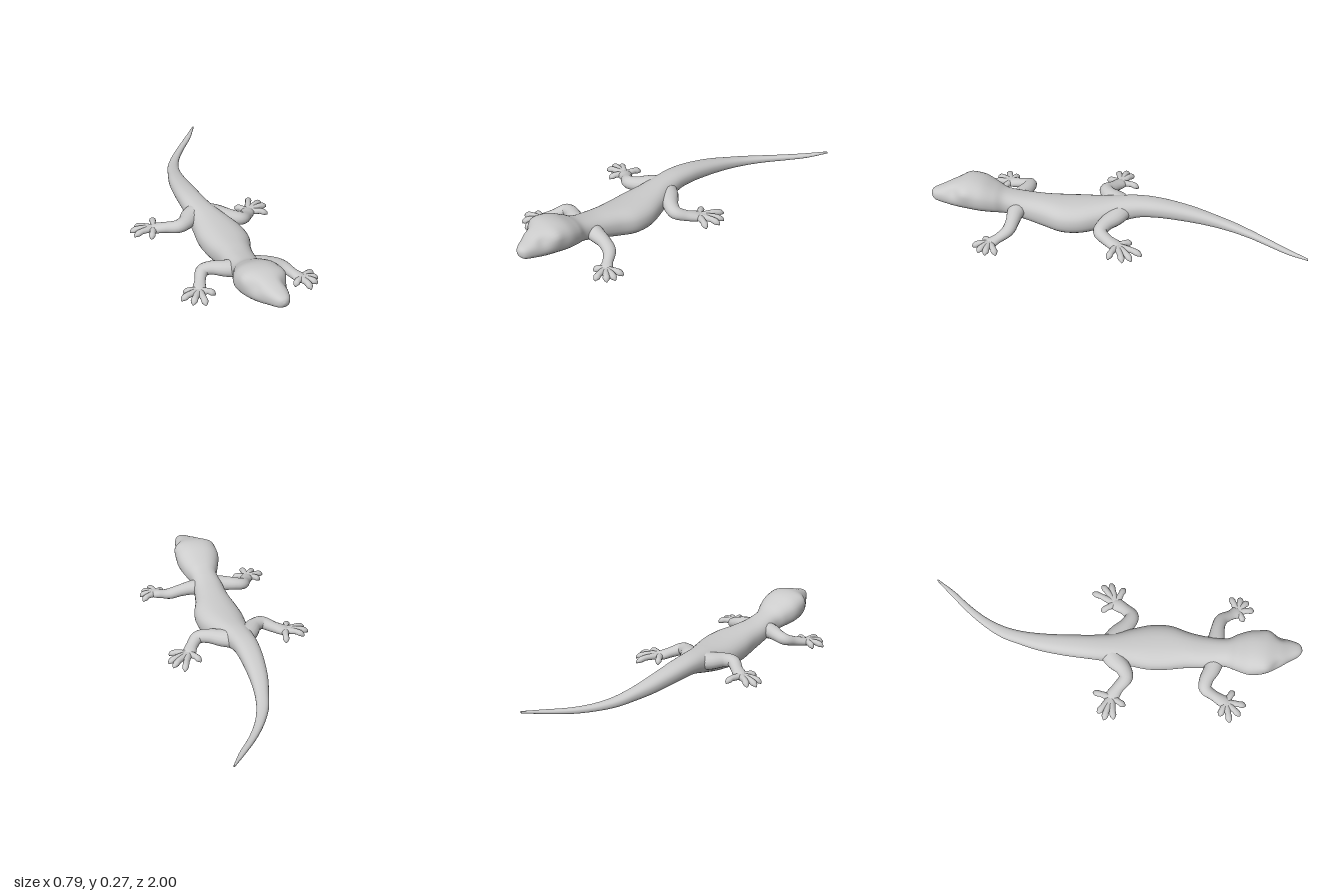
import * as THREE from 'three';

const material = new THREE.MeshStandardMaterial({ color: 0xcccccc });

// Smooth skin through cross-sections [x, y, z, halfWidth, halfHeight].
// Rings stand across the path, or across z when upright is set.
function loft(name, sections, { rings = 24, sides = 16, power = 2, upright = false, shape } = {}) {
  const path = new THREE.CatmullRomCurve3(sections.map(s => new THREE.Vector3(s[0], s[1], s[2])), false, 'catmullrom');
  const size = new THREE.CatmullRomCurve3(sections.map(s => new THREE.Vector3(s[3], s[4], 0)), false, 'catmullrom');
  const pos = [], index = [], up = new THREE.Vector3(0, 1, 0);
  const round = v => Math.sign(v) * Math.abs(v) ** (2 / power);
  for (let i = 0; i <= rings; i++) {
    const t = i / rings, c = path.getPoint(t), r = size.getPoint(t);
    const dir = upright ? new THREE.Vector3(0, 0, 1) : path.getTangent(t);
    const side = up.clone().cross(dir).normalize();
    const top = dir.clone().cross(side);
    for (let j = 0; j < sides; j++) {
      const a = (j / sides) * Math.PI * 2;
      const p = c.clone()
        .addScaledVector(side, round(Math.cos(a)) * Math.max(r.x, 0.001))
        .addScaledVector(top, round(Math.sin(a)) * Math.max(r.y, 0.001));
      if (shape) shape(p);
      pos.push(p.x, p.y, p.z);
      if (i < rings) {
        const k = (j + 1) % sides, o = i * sides, n = o + sides;
        index.push(o + j, o + k, n + k, o + j, n + k, n + j);
      }
    }
  }
  // Close both ends
  const first = path.getPoint(0), last = path.getPoint(1), f = (rings + 1) * sides, o = rings * sides;
  pos.push(first.x, first.y, first.z, last.x, last.y, last.z);
  for (let j = 0; j < sides; j++) {
    const k = (j + 1) % sides;
    index.push(f, k, j, f + 1, o + j, o + k);
  }
  const g = new THREE.BufferGeometry();
  g.setAttribute('position', new THREE.Float32BufferAttribute(pos, 3));
  g.setIndex(index);
  g.computeVertexNormals();
  const mesh = new THREE.Mesh(g, material);
  mesh.name = name;
  return mesh;
}

// Body outline from tail tip to snout: [z, xMin, xMax, yMin, yMax]
const outline = [
  [-1, 0.283, 0.293, 0.062, 0.074], [-0.9, 0.2, 0.237, 0.046, 0.068], [-0.8, 0.12, 0.165, 0.036, 0.066],
  [-0.7, 0.052, 0.105, 0.035, 0.072], [-0.6, 0, 0.065, 0.038, 0.086], [-0.5, -0.03, 0.043, 0.045, 0.107],
  [-0.4, -0.056, 0.035, 0.053, 0.13], [-0.3, -0.071, 0.035, 0.062, 0.15], [-0.2, -0.08, 0.04, 0.07, 0.166],
  [-0.1, -0.082, 0.05, 0.068, 0.174], [0, -0.08, 0.075, 0.04, 0.173], [0.1, -0.084, 0.12, 0.014, 0.168],
  [0.2, -0.09, 0.155, 0.001, 0.166], [0.3, -0.08, 0.16, 0.003, 0.168], [0.4, -0.062, 0.13, 0.02, 0.173],
  [0.5, -0.055, 0.112, 0.048, 0.18], [0.6, -0.045, 0.105, 0.075, 0.2], [0.66, -0.066, 0.13, 0.088, 0.23],
  [0.73, -0.089, 0.15, 0.098, 0.262], [0.8, -0.08, 0.146, 0.106, 0.27], [0.87, -0.045, 0.134, 0.118, 0.254],
  [0.93, 0, 0.12, 0.135, 0.232], [0.975, 0.03, 0.108, 0.15, 0.218], [0.993, 0.048, 0.092, 0.165, 0.207],
  [1, 0.065, 0.075, 0.182, 0.192],
];

// Soft brow swellings and a shallow groove in front of each
function shapeHead(p) {
  for (const [x, z] of [[-0.045, 0.82], [0.125, 0.82]]) {
    const near = (cz, w) => Math.exp(-((p.x - x) ** 2 + (p.y - 0.225) ** 2 + (p.z - cz) ** 2) / w);
    const bulge = 0.012 * near(z - 0.01, 0.0016) - 0.012 * near(z + 0.06, 0.0012);
    p.x += bulge * Math.sign(x - 0.04);
    p.y += bulge * 0.4;
  }
}

// Each leg: path sections [x, y, z, halfWidth, halfHeight] ending at the palm, then toe tips [x, z]
const legs = {
  frontLeft: {
    path: [[0.04, 0.115, 0.53, 0.055, 0.05], [0.11, 0.116, 0.545, 0.045, 0.04], [0.18, 0.105, 0.55, 0.036, 0.033],
      [0.235, 0.085, 0.565, 0.034, 0.03], [0.275, 0.062, 0.61, 0.027, 0.024], [0.305, 0.048, 0.65, 0.034, 0.021],
      [0.325, 0.043, 0.68, 0.008, 0.006]],
    tips: [[0.385, 0.605], [0.39, 0.66], [0.372, 0.7], [0.325, 0.735], [0.26, 0.685]],
  },
  frontRight: {
    path: [[0.01, 0.115, 0.55, 0.055, 0.05], [-0.06, 0.12, 0.54, 0.045, 0.042], [-0.125, 0.122, 0.515, 0.037, 0.034],
      [-0.175, 0.113, 0.515, 0.034, 0.031], [-0.203, 0.096, 0.565, 0.028, 0.025], [-0.23, 0.08, 0.63, 0.034, 0.021],
      [-0.24, 0.075, 0.665, 0.008, 0.006]],
    tips: [[-0.3, 0.605], [-0.33, 0.66], [-0.288, 0.71], [-0.23, 0.735], [-0.16, 0.665]],
  },
  hindLeft: {
    path: [[0, 0.11, -0.01, 0.07, 0.05], [0.07, 0.106, 0.015, 0.055, 0.045], [0.135, 0.1, 0.06, 0.042, 0.038],
      [0.195, 0.088, 0.082, 0.037, 0.034], [0.238, 0.07, 0.04, 0.032, 0.028], [0.27, 0.058, -0.015, 0.036, 0.022],
      [0.292, 0.053, -0.05, 0.008, 0.006]],
    tips: [[0.368, 0.022], [0.388, -0.055], [0.372, -0.1], [0.322, -0.148], [0.222, -0.085]],
  },
  hindRight: {
    path: [[0, 0.115, -0.02, 0.07, 0.05], [-0.065, 0.116, 0.015, 0.055, 0.046], [-0.115, 0.118, 0.07, 0.042, 0.038],
      [-0.165, 0.115, 0.09, 0.037, 0.034], [-0.22, 0.1, 0.055, 0.032, 0.028], [-0.275, 0.088, 0.025, 0.036, 0.022],
      [-0.31, 0.084, 0.015, 0.008, 0.006]],
    tips: [[-0.255, -0.072], [-0.365, -0.035], [-0.398, 0.0], [-0.388, 0.05], [-0.31, 0.1]],
  },
};

function createLeg(name, { path, tips }) {
  const leg = new THREE.Group();
  leg.name = name + 'Leg';
  leg.add(loft('limb', path, { rings: 36 }));
  // Toes fan out from the palm, with padded ends and a small downturned claw
  const [px, py, pz] = path[path.length - 2];
  for (const [tx, tz] of tips) {
    const at = (f, dy, r, h) => [px + (tx - px) * f, py + dy, pz + (tz - pz) * f, r, h];
    leg.add(loft('toe', [
      at(0, 0, 0.022, 0.018), at(0.35, 0.003, 0.019, 0.017), at(0.62, 0.004, 0.016, 0.016),
      at(0.82, -0.002, 0.018, 0.016), at(0.95, -0.01, 0.011, 0.01), at(1, -0.018, 0.002, 0.002),
    ], { rings: 18, sides: 10 }));
  }
  return leg;
}

export function createModel() {
  const model = new THREE.Group();
  model.name = 'lizard';
  // Head, trunk and tail in one skin
  const sections = outline.map(([z, x0, x1, y0, y1]) => [(x0 + x1) / 2, (y0 + y1) / 2, z, (x1 - x0) / 2, (y1 - y0) / 2]);
  model.add(loft('body', sections, { rings: 144, sides: 32, power: 2.35, upright: true, shape: shapeHead }));
  for (const [name, leg] of Object.entries(legs)) model.add(createLeg(name, leg));
  return model;
}
